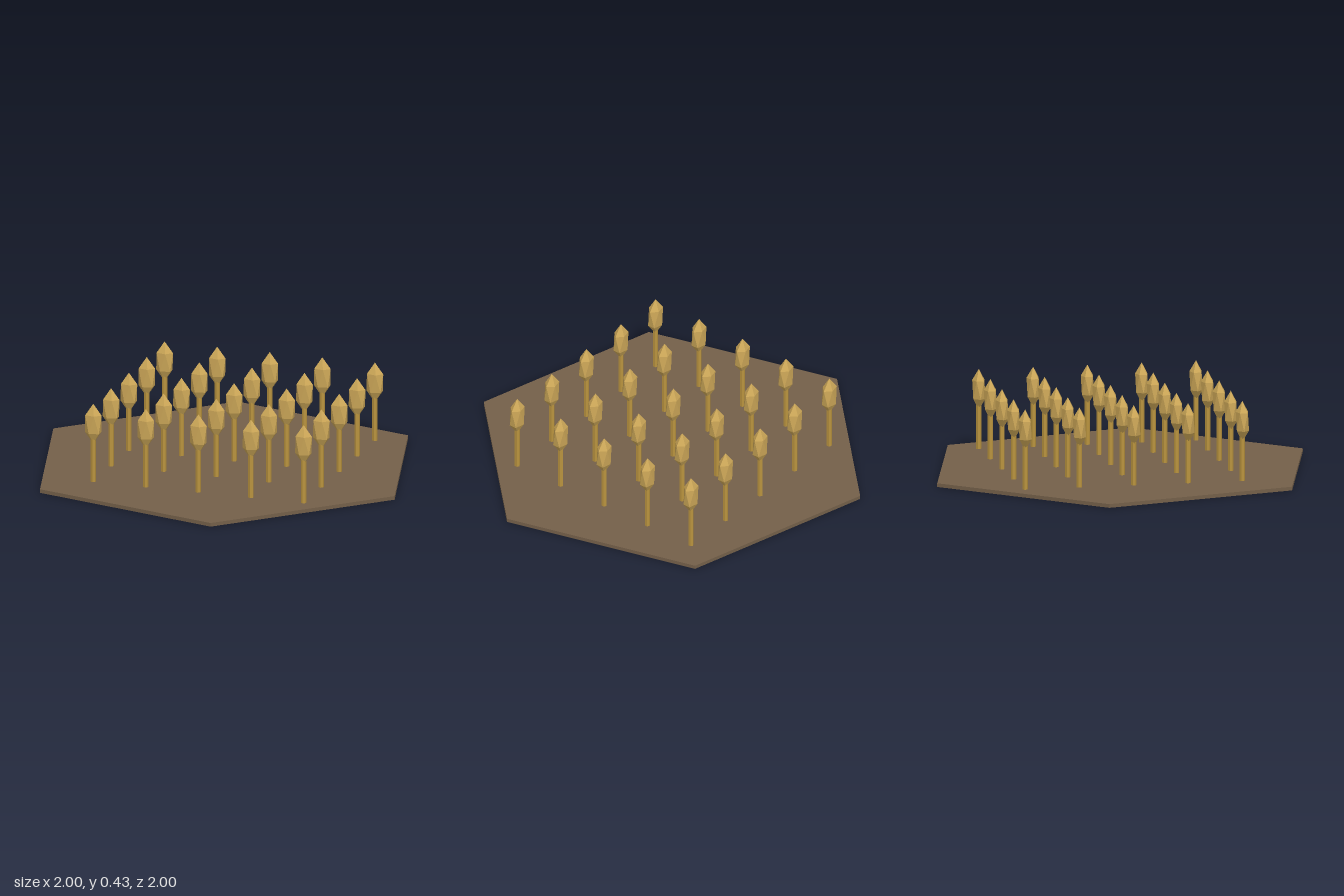
import * as THREE from 'three';

const material = (name, color, flatShading = true) => {
  const m = new THREE.MeshStandardMaterial({ color, flatShading });
  m.name = name;
  return m;
};

// Faceted ear: an icosahedron stood on one corner, stretched upward and flattened front to back
function earGeometry() {
  const golden = (1 + Math.sqrt(5)) / 2;
  const g = new THREE.IcosahedronGeometry(1, 0);
  g.rotateX(-Math.atan2(golden, 1));
  g.rotateY(Math.PI / 2);
  g.scale(0.05, 0.105, 0.037);
  return g;
}

export function createModel() {
  const group = new THREE.Group();
  group.name = 'cropField';

  const soil = material('soil brown', 0x735f49);
  const straw = material('straw', 0xb8923e);
  const grain = material('golden grain', 0xcba657);

  // Thin hexagonal ground tile, turned by 15 degrees
  const thickness = 0.019;
  const ground = new THREE.Mesh(
    new THREE.CylinderGeometry(1.035, 1.035, thickness, 6, 1, false, Math.PI / 12), soil);
  ground.position.y = 0.001 + thickness / 2;
  ground.name = 'groundTile';
  group.add(ground);

  // Five by five rows of stalks, each with an ear on top
  const stemHeight = 0.26;
  const stemGeometry = new THREE.CylinderGeometry(0.014, 0.014, stemHeight, 6);
  const headGeometry = earGeometry();
  const spacing = 0.28;
  for (let row = 0; row < 5; row++) {
    for (let col = 0; col < 5; col++) {
      const stalk = new THREE.Group();
      stalk.name = `stalk${row + 1}_${col + 1}`;
      stalk.position.set(-0.52 + col * spacing, 0, -0.6 + row * spacing);

      const stem = new THREE.Mesh(stemGeometry, straw);
      stem.name = 'stem';
      stem.position.y = stemHeight / 2;

      const ear = new THREE.Mesh(headGeometry, grain);
      ear.name = 'ear';
      ear.position.y = 0.325;

      stalk.add(stem, ear);
      group.add(stalk);
    }
  }
  return group;
}
